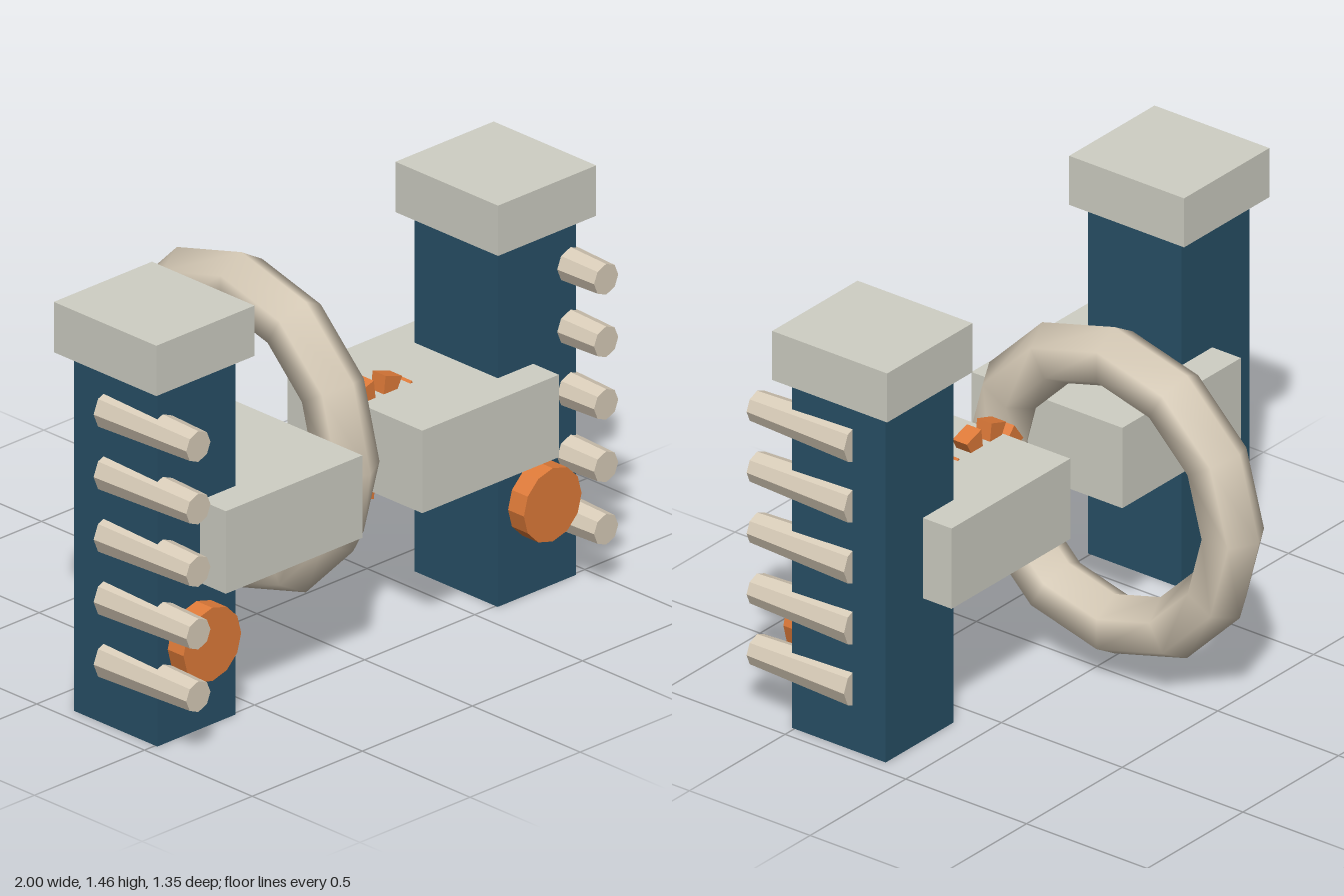
import * as THREE from 'three';

const material = (color, flatShading = true) => {
  const m = new THREE.MeshStandardMaterial({ color });
  m.flatShading = flatShading;
  return m;
};

const MID_Y = 0.67;   // height of the ring, arms and gear
const MID_Z = 0.316;  // depth of the pillars and arms

// Gear outline: each tooth rises from the root circle to the tip circle
function gearGeometry(teeth, rootRadius, tipRadius, thickness) {
  const shape = new THREE.Shape();
  const step = (Math.PI * 2) / teeth;
  const half = step * 0.3;
  const points = [];
  for (let i = 0; i < teeth; i++) {
    const a = i * step;
    for (const [r, offset] of [[rootRadius, -half], [tipRadius, -half], [tipRadius, half], [rootRadius, half]]) {
      points.push(new THREE.Vector2(r * Math.cos(a + offset), r * Math.sin(a + offset)));
    }
  }
  shape.setFromPoints(points);
  const geometry = new THREE.ExtrudeGeometry(shape, { depth: thickness, bevelEnabled: false });
  return geometry.translate(0, 0, -thickness / 2);
}

export function createModel() {
  const model = new THREE.Group();
  model.name = 'model';

  const blue = material(0x285067);
  const stone = material(0xcfcfc4);
  const ivory = material(0xd9cdb9);
  const ivorySmooth = material(0xd9cdb9, false);
  const orange = material(0xe07b39);

  const add = (parent, name, geometry, mat, x, y, z) => {
    const mesh = new THREE.Mesh(geometry, mat);
    mesh.name = name;
    mesh.position.set(x, y, z);
    parent.add(mesh);
    return mesh;
  };

  const pillar = new THREE.BoxGeometry(0.355, 1.285, 0.387);
  const cap = new THREE.BoxGeometry(0.446, 0.18, 0.476);
  const arm = new THREE.BoxGeometry(0.62, 0.295, 0.625);
  const disc = new THREE.CylinderGeometry(0.131, 0.131, 0.15, 12).rotateX(Math.PI / 2);
  const peg = new THREE.CylinderGeometry(0.055, 0.07, 0.415, 8).rotateX(Math.PI / 2);

  // Mirrored towers, each with an inward arm, front disc and row of pegs
  for (const side of [-1, 1]) {
    const tower = new THREE.Group();
    tower.name = side > 0 ? 'leftTower' : 'rightTower';
    add(tower, 'pillar', pillar, blue, side * 0.773, 0.6425, MID_Z);
    add(tower, 'cap', cap, stone, side * 0.776, 1.373, MID_Z);
    add(tower, 'arm', arm, stone, side * 0.446, MID_Y, MID_Z);
    add(tower, 'frontDisc', disc, orange, side * 0.773, 0.332, 0.508);
    for (let i = 0; i < 5; i++) {
      add(tower, 'peg' + (i + 1), peg, ivory, side * 0.926, 0.225 + i * 0.2235, 0.467);
    }
    model.add(tower);
  }

  // Upright faceted ring in the centre plane
  const ring = new THREE.TorusGeometry(0.49, 0.109, 6, 12).rotateY(Math.PI / 2);
  add(model, 'ring', ring, ivorySmooth, 0, MID_Y, -0.072);

  // Ten-toothed gear, mostly sunk into the left arm
  add(model, 'gear', gearGeometry(10, 0.148, 0.213, 0.06), orange, 0.225, MID_Y, 0.31);

  return model;
}
